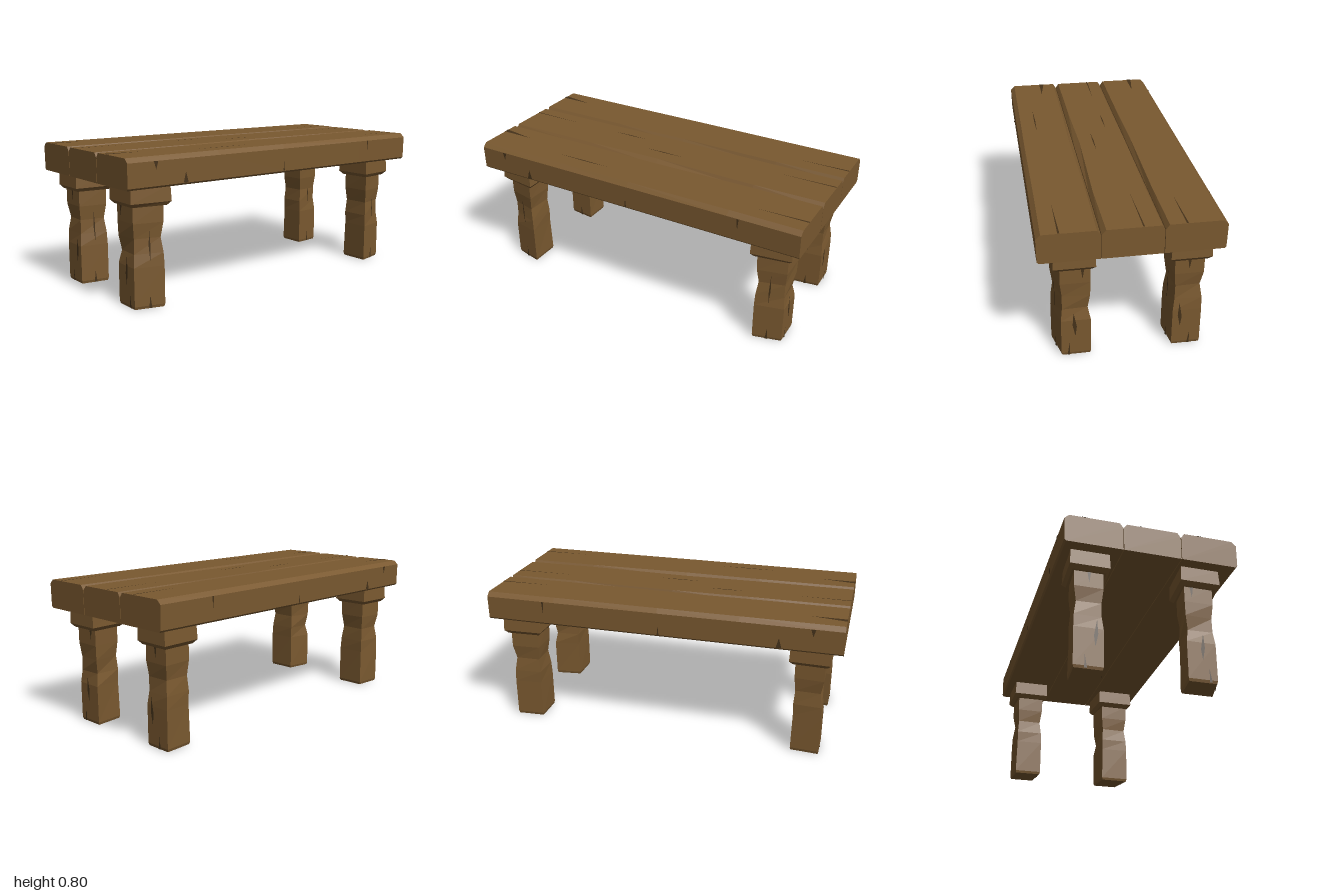
import * as THREE from 'three';

const wood = new THREE.MeshStandardMaterial({ color: 0x7a5930 });
wood.name = 'brown wood';
const darkWood = new THREE.MeshStandardMaterial({ color: 0x45321a, side: THREE.DoubleSide });
darkWood.name = 'dark crack';

// Solid with flat faces, skinned over a row of convex rings of [x, y, z]
function loft(name, rings) {
  const pos = [];
  const n = rings[0].length;
  const tri = (...pts) => pts.forEach((p) => pos.push(...p));
  for (let i = 0; i < rings.length - 1; i++) {
    const a = rings[i], b = rings[i + 1];
    for (let j = 0; j < n; j++) {
      const k = (j + 1) % n;
      tri(a[j], a[k], b[k]);
      tri(a[j], b[k], b[j]);
    }
  }
  const first = rings[0], last = rings[rings.length - 1];
  for (let j = 1; j < n - 1; j++) {
    tri(first[0], first[j + 1], first[j]);
    tri(last[0], last[j], last[j + 1]);
  }
  const geo = new THREE.BufferGeometry();
  geo.setAttribute('position', new THREE.Float32BufferAttribute(pos, 3));
  geo.computeVertexNormals();
  const mesh = new THREE.Mesh(geo, wood);
  mesh.name = name;
  return mesh;
}

// Thin dark sliver with three or four corners
function crack(...pts) {
  const geo = new THREE.BufferGeometry();
  geo.setAttribute('position', new THREE.Float32BufferAttribute(pts.flat(), 3));
  geo.setIndex(pts.length === 4 ? [0, 1, 2, 0, 2, 3] : [0, 1, 2]);
  geo.computeVertexNormals();
  const mesh = new THREE.Mesh(geo, darkWood);
  mesh.name = 'crack';
  return mesh;
}

// Plank along x; the top edges wander a little at each station
function plank(name, profile, wobble) {
  const stations = [-1, -0.45, 0, 0.6, 1];
  return loft(name, stations.map((x, i) => profile.map(([z, y, edge = 0]) =>
    [x, y, z + edge * wobble[i]])));
}

// Corners of a slightly skewed post, counterclockwise from above
function postRing(side, y, x0, x1, z0, z1, skew, nick = [0, 0, 0, 0]) {
  const ring = [
    [side * (x0 + nick[0]), y, z1 - nick[0]],
    [side * (x1 - nick[1]), y, z1 - skew - nick[1]],
    [side * (x1 - nick[2]), y, z0 + nick[2]],
    [side * (x0 + nick[3]), y, z0 + skew / 2 + nick[3]],
  ];
  return side > 0 ? ring : ring.reverse();
}

function leg(side, front) {
  const group = new THREE.Group();
  group.name = `${front ? 'front' : 'back'}${side > 0 ? 'Left' : 'Right'}Leg`;
  const [z0, z1] = front ? [0.195, 0.388] : [-0.39, -0.217];
  const skew = front ? 0.038 : 0.02;

  // Post with worn corners
  const worn = [
    [0, [0.004, 0.004, 0.004, 0.004]],
    [0.015, [0, 0, 0, 0]],
    [0.22, [0, 0, 0, 0.004]],
    [0.29, [0.003, 0.008, front ? 0.014 : 0.002, 0.002]],
    [0.37, [0.013, 0.009, front ? 0.002 : 0.014, 0.008]],
    [0.45, [0.002, 0, 0, 0]],
    [0.55, [0, 0, 0, 0]],
  ];
  group.add(loft('legPost', worn.map(([y, nick]) =>
    postRing(side, y, 0.75, 0.91, z0, z1, skew, nick))));

  // Collar with a bevelled lower edge
  const [c0, c1] = front ? [0.17, 0.415] : [-0.42, -0.192];
  group.add(loft('legCollar', [[0.537, 0.018], [0.558, 0], [0.643, 0.004]].map(([y, s]) =>
    postRing(side, y, 0.718 + s, 0.94 - s, c0 + s, c1 - s, skew * 0.8))));

  // Splits in the outer face
  const x = side * 0.912;
  const foot = front ? 0.31 : -0.33;
  const mid = front ? 0.28 : -0.275;
  const top = front ? 0.235 : -0.312;
  group.add(crack([x, 0.002, foot + 0.01], [x, 0.002, foot - 0.004], [x, 0.08, foot - 0.003]));
  group.add(crack([x, 0.12, mid - 0.004], [x, 0.18, mid - 0.012], [x, 0.27, mid + 0.004], [x, 0.19, mid + 0.01]));
  group.add(crack([x, 0.537, top + 0.009], [x, 0.537, top - 0.01], [x, 0.475, top]));

  // Split in the end-facing side, following its slant
  const face = (u, y) => [side * (0.75 + 0.16 * u), y, z1 + 0.003 - skew * u];
  group.add(crack(face(0.47, 0.24), face(0.52, 0.33), face(0.5, 0.43), face(0.46, 0.33)));
  group.add(crack(face(0.44, 0.002), face(0.54, 0.002), face(0.5, 0.07)));
  return group;
}

export function createModel() {
  const table = new THREE.Group();
  table.name = 'plankTable';

  // Three bevelled planks; the third number marks a wandering edge
  const outer = [[0.157, 0.642], [0.157, 0.775], [0.175, 0.8, 1], [0.442, 0.8, 0.3],
    [0.466, 0.777], [0.464, 0.652], [0.455, 0.642]];
  const middle = [[-0.154, 0.642], [-0.154, 0.775], [-0.137, 0.799, 0.5], [0.137, 0.799, 1],
    [0.154, 0.775], [0.154, 0.642]];
  const back = outer.map(([z, y, e]) => [-z, y, e]).reverse();
  table.add(plank('frontPlank', outer, [0, 0, 0.006, -0.003, 0]));
  table.add(plank('middlePlank', middle, [0, -0.003, -0.014, 0, -0.006]));
  table.add(plank('backPlank', back, [0, 0, -0.004, 0.003, 0]));

  for (const side of [1, -1]) for (const front of [true, false]) table.add(leg(side, front));

  // Grain splits running in from the plank ends: end x, tip x, z, width
  for (const [end, tip, z, w] of [[-1, -0.81, -0.36, 0.03], [-1, -0.81, 0.255, 0.03],
    [-1, -0.7, -0.062, 0.008], [1, 0.71, -0.262, 0.01], [1, 0.71, 0.357, 0.01], [1, 0.65, -0.05, 0.008]]) {
    table.add(crack([end, 0.802, z - w / 2], [end, 0.802, z + w / 2], [tip, 0.802, z + w / 2]));
  }

  // Closed splits in the middle of the top: from x, to x, z
  for (const [a, b, z] of [[-0.4, -0.19, -0.06], [-0.13, 0.12, 0.042], [-0.52, -0.19, 0.355]]) {
    const m = (a + b) / 2;
    table.add(crack([a, 0.802, z], [m, 0.802, z + 0.004], [b, 0.802, z], [m, 0.802, z - 0.004]));
  }

  // Nicks in the long edges: x, base y, tip y, width
  for (const s of [1, -1]) {
    for (const [x, y0, y1, w] of [[-0.84, 0.777, 0.735, 0.025], [-0.665, 0.655, 0.71, 0.03],
      [0.662, 0.777, 0.71, 0.012], [-0.008, 0.655, 0.71, 0.01]]) {
      table.add(crack([x - w / 2, y0, s * 0.469], [x + w / 2, y0, s * 0.469], [x, y1, s * 0.469]));
    }
  }
  return table;
}
